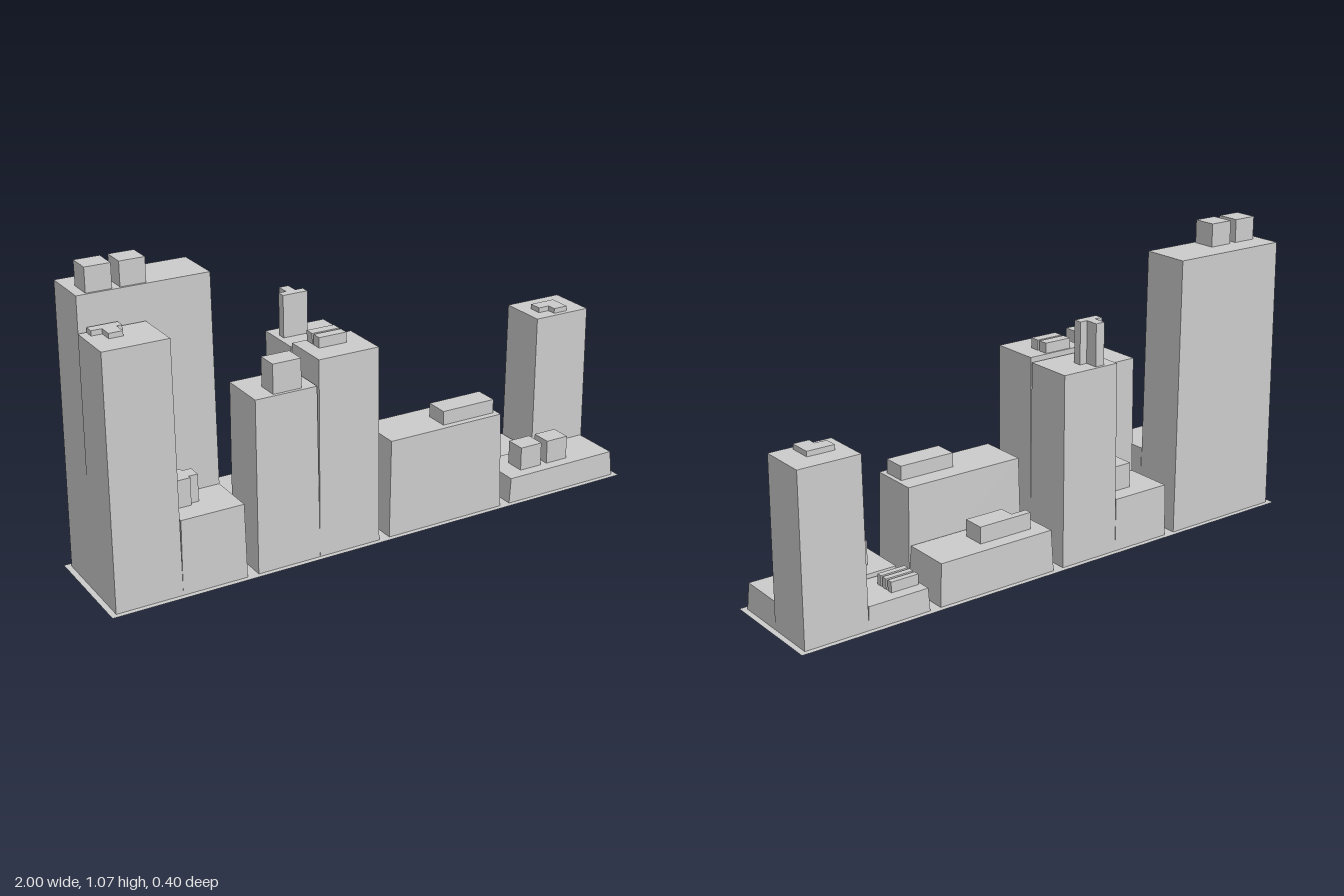
import * as THREE from 'three';

const material = new THREE.MeshStandardMaterial({ color: 0xcccccc, flatShading: true, side: THREE.DoubleSide });
const BLOCK_WIDTH = 0.46;
const ROW_DEPTH = 0.182;
const TAPER = 0.965;
const blockCentre = (block) => -0.75 + 0.5 * block;

// Building shell without a floor, narrowing towards the roof
function shell(width, height) {
  const g = new THREE.BoxGeometry(width, height, ROW_DEPTH);
  const index = Array.from(g.index.array);
  index.splice(18, 6); // drop the bottom face
  g.setIndex(index);
  g.clearGroups();
  const p = g.attributes.position;
  for (let i = 0; i < p.count; i++) {
    if (p.getY(i) > 0) {
      p.setX(i, p.getX(i) * TAPER);
      p.setZ(i, p.getZ(i) * TAPER);
    }
  }
  g.computeVertexNormals();
  return g;
}

// Vertical prism over an outline of [x, z] points
function prism(outline, height) {
  const shape = new THREE.Shape(outline.map(([x, z]) => new THREE.Vector2(x, -z)));
  return new THREE.ExtrudeGeometry(shape, { depth: height, bevelEnabled: false }).rotateX(-Math.PI / 2);
}

// Roof unit outlines, centred on their footprint.
// A row of equal rectangles, spaced along x or z
function rects(count, w, d, stepX = 0, stepZ = 0) {
  return Array.from({ length: count }, (_, i) => {
    const k = i - (count - 1) / 2;
    return [[-1, -1], [1, -1], [1, 1], [-1, 1]].map(([sx, sz]) => [k * stepX + sx * w / 2, k * stepZ + sz * d / 2]);
  });
}

// L shape: an arm along the back and a leg to the front, on side -1 or 1
function ell(w, d, arm, leg, side) {
  const x = side * w / 2, inner = side * (w / 2 - leg), z = d / 2;
  return [[[x, -z], [-x, -z], [-x, arm - z], [inner, arm - z], [inner, z], [x, z]]];
}

// T shape: the stem points to +z, then is rotated by quarter turns
function tee(w, bar, stem, length, turns = 0, shift = 0) {
  const x = w / 2, z = (bar + length) / 2, a = shift - stem / 2, b = shift + stem / 2;
  let points = [[-x, -z], [x, -z], [x, bar - z], [b, bar - z], [b, z], [a, z], [a, bar - z], [-x, bar - z]];
  for (let i = 0; i < turns; i++) points = points.map(([px, pz]) => [pz, -px]);
  return [points];
}

// Flat pavement with one opening per block
function pavement() {
  const rect = (path, cx, halfX, halfZ) => path.moveTo(cx - halfX, -halfZ).lineTo(cx + halfX, -halfZ)
    .lineTo(cx + halfX, halfZ).lineTo(cx - halfX, halfZ).closePath();
  const shape = rect(new THREE.Shape(), 0, 1, 0.2);
  for (let i = 0; i < 4; i++) {
    shape.holes.push(rect(new THREE.Path(), blockCentre(i), BLOCK_WIDTH / 2, 0.18));
  }
  return new THREE.ShapeGeometry(shape).rotateX(-Math.PI / 2);
}

export function createModel() {
  const model = new THREE.Group();
  model.name = 'cityBlocks';

  const add = (parent, name, geometry, x, y, z) => {
    const mesh = new THREE.Mesh(geometry, material);
    mesh.name = name;
    mesh.position.set(x, y, z);
    parent.add(mesh);
  };

  // half: -1 or 1 for one half of the block, 0 for its full width; row: 1 front, -1 back
  const building = (name, block, half, row, height, unitHeight, unitX, unitZ, outlines) => {
    const group = new THREE.Group();
    group.name = name;
    const width = half ? BLOCK_WIDTH / 2 : BLOCK_WIDTH;
    const x = blockCentre(block) + half * BLOCK_WIDTH / 4;
    add(group, 'walls', shell(width, height), x, height / 2, row * ROW_DEPTH / 2);
    for (const outline of outlines) add(group, 'roofUnit', prism(outline, unitHeight), unitX, height, unitZ);
    model.add(group);
  };

  add(model, 'pavement', pavement(), 0, 0, 0);

  // First block
  building('backWideTower', 0, 0, -1, 0.988, 0.082, -0.839, -0.053, rects(2, 0.086, 0.083, 0.112));
  building('frontSlimTower', 0, -1, 1, 0.87, 0.017, -0.898, 0.047, tee(0.101, 0.034, 0.047, 0.048, 0, 0.009));
  building('frontLowHouse', 0, 1, 1, 0.262, 0.096, -0.689, 0.06, tee(0.075, 0.07, 0.049, 0.032, 1));

  // Second block
  building('backLowHouse', 1, -1, -1, 0.19, 0.09, -0.316, -0.08, ell(0.101, 0.075, 0.027, 0.064, -1));
  building('backMiddleTower', 1, 1, -1, 0.682, 0.148, -0.181, -0.128, tee(0.091, 0.031, 0.035, 0.048, 2));
  building('frontLeftTower', 1, -1, 1, 0.61, 0.102, -0.355, 0.128, rects(1, 0.102, 0.077));
  building('frontRightTower', 1, 1, 1, 0.698, 0.036, -0.143, 0.049, rects(2, 0.102, 0.036, 0, 0.045));

  // Third block
  building('backWideHall', 2, 0, -1, 0.15, 0.06, 0.18, -0.088, ell(0.205, 0.081, 0.027, 0.146, 1));
  building('frontWideHall', 2, 0, 1, 0.352, 0.05, 0.353, 0.113, rects(1, 0.206, 0.085));

  // Fourth block
  building('backLowShed', 3, -1, -1, 0.08, 0.037, 0.585, -0.097, rects(3, 0.103, 0.021, 0, 0.03));
  building('backCornerTower', 3, 1, -1, 0.59, 0.018, 0.849, -0.062, ell(0.098, 0.082, 0.048, 0.056, 1));
  building('frontLowHall', 3, 0, 1, 0.092, 0.086, 0.699, 0.102, rects(2, 0.088, 0.074, 0.114));

  return model;
}
